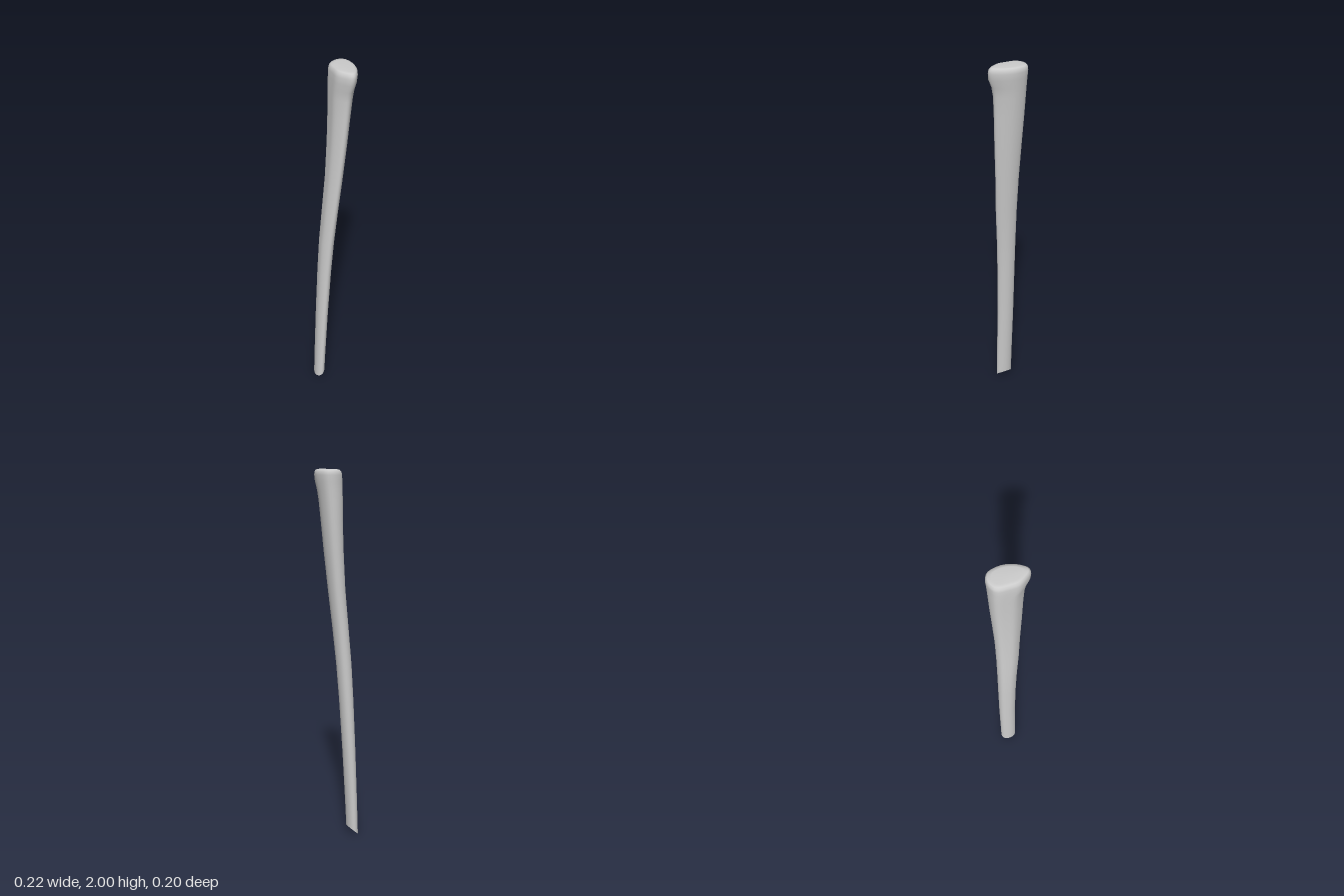
import * as THREE from 'three';

const SIDES = 36;

// Rounded-triangle outline of the flared head, normalised to -1..1 in x and z
const headOutline = new THREE.CatmullRomCurve3([
  [1, -0.15], [0.8, 0.42], [0.52, 0.75], [0.18, 0.98], [-0.15, 0.99], [-0.55, 0.75],
  [-0.95, 0.35], [-1, -0.1], [-0.97, -0.6], [-0.7, -0.84], [0.1, -1], [0.75, -0.8],
].map(([x, z]) => new THREE.Vector3(x, 0, z)), true, 'centripetal').getPoints(SIDES).slice(0, SIDES);

// Cross-sections: height, x min, x max, z min, z max, share of head outline
const sections = [
  [0.025, -0.11, -0.053, -0.092, 0.0, 0.1],
  [0.2, -0.103, -0.045, -0.092, 0.001, 0.15],
  [0.5, -0.091, -0.027, -0.092, 0.003, 0.25],
  [0.8, -0.078, -0.008, -0.089, 0.011, 0.4],
  [1.0, -0.067, 0.007, -0.086, 0.02, 0.5],
  [1.2, -0.05, 0.025, -0.083, 0.034, 0.6],
  [1.4, -0.032, 0.047, -0.082, 0.045, 0.7],
  [1.6, -0.02, 0.068, -0.087, 0.057, 0.8],
  [1.75, -0.014, 0.083, -0.092, 0.064, 0.85],
  [1.85, -0.013, 0.094, -0.094, 0.07, 0.9],
  [1.9, -0.012, 0.1, -0.095, 0.08, 0.95],
  [1.94, -0.011, 0.106, -0.096, 0.097, 1],
  [1.972, -0.009, 0.109, -0.098, 0.1, 1],
  [1.988, -0.005, 0.107, -0.096, 0.097, 1],
  [1.997, 0.003, 0.1, -0.089, 0.088, 1],
  [2.0, 0.015, 0.088, -0.07, 0.068, 1],
];

function ring([y, x0, x1, z0, z1, blend]) {
  return headOutline.map((p) => {
    const a = Math.atan2(p.z, p.x);
    const u = THREE.MathUtils.lerp(Math.cos(a), p.x, blend);
    const w = THREE.MathUtils.lerp(Math.sin(a), p.z, blend);
    // The lowest section is tilted to make the slanted cut
    const tilt = y < 0.1 ? 0.025 * u : 0;
    return new THREE.Vector3((x0 + x1) / 2 + u * (x1 - x0) / 2, y + tilt, (z0 + z1) / 2 + w * (z1 - z0) / 2);
  });
}

function centre(points) {
  return points.reduce((s, p) => s.add(p), new THREE.Vector3()).divideScalar(points.length);
}

function makeMesh(name, points, index) {
  const geometry = new THREE.BufferGeometry().setFromPoints(points);
  geometry.setIndex(index);
  geometry.computeVertexNormals();
  const mesh = new THREE.Mesh(geometry, new THREE.MeshStandardMaterial({ color: 0xcccccc }));
  mesh.name = name;
  return mesh;
}

export function createModel() {
  const group = new THREE.Group();
  group.name = 'curvedShaft';
  const rings = sections.map(ring);

  // Shaft, flared head and its rounded top in one smooth skin
  const points = rings.flat();
  const index = [];
  const top = points.length;
  const last = top - SIDES;
  points.push(centre(rings[rings.length - 1]));
  for (let i = 0; i < SIDES; i++) {
    const n = (i + 1) % SIDES;
    for (let r = 0; r < rings.length - 1; r++) {
      const a = r * SIDES + i, b = r * SIDES + n;
      index.push(a, a + SIDES, b, b, a + SIDES, b + SIDES);
    }
    index.push(top, last + n, last + i);
  }
  group.add(makeMesh('shaft', points, index));

  // Flat slanted cut at the foot
  const capIndex = [];
  for (let i = 0; i < SIDES; i++) capIndex.push(SIDES, i, (i + 1) % SIDES);
  group.add(makeMesh('slantedEnd', [...rings[0], centre(rings[0])], capIndex));
  return group;
}
